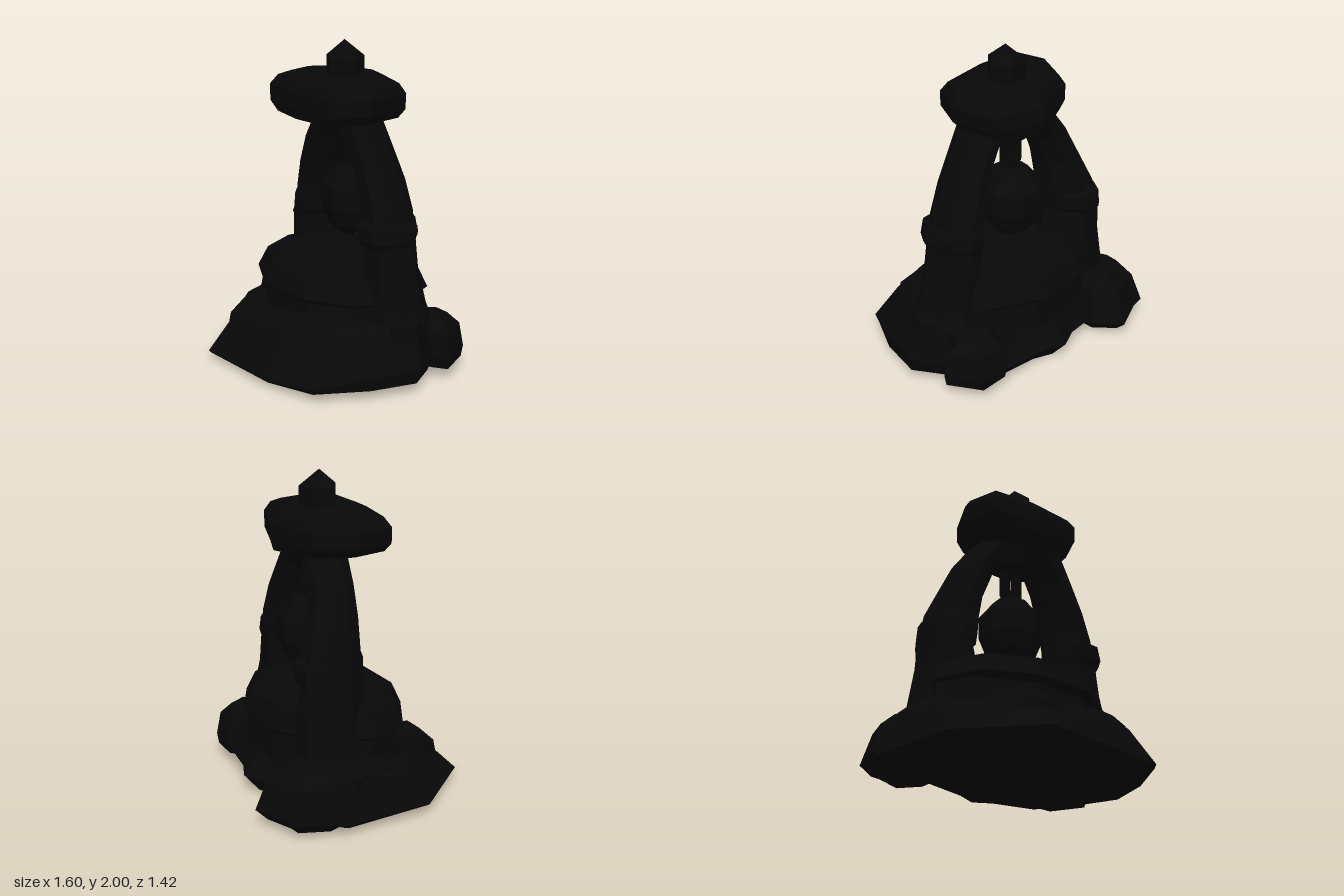
import * as THREE from 'three';

const stone = new THREE.MeshStandardMaterial({ color: 0x080808 });
stone.name = 'darkStone';

// Faceted mesh from any geometry
function part(group, name, geometry) {
  const geo = geometry.index ? geometry.toNonIndexed() : geometry;
  geo.computeVertexNormals();
  const mesh = new THREE.Mesh(geo, stone);
  mesh.name = name;
  group.add(mesh);
  return mesh;
}

// Closed solid through rings of [x, y, z]; each ring runs front, right, back, left
function loft(rings) {
  const n = rings[0].length, pos = [], index = [];
  rings.forEach(r => r.forEach(p => pos.push(...p)));
  for (let k = 0; k < rings.length - 1; k++) {
    for (let i = 0; i < n; i++) {
      const a = k * n + i, b = k * n + (i + 1) % n;
      index.push(a, b, b + n, a, b + n, a + n);
    }
  }
  [rings[0], rings[rings.length - 1]].forEach((r, top) => {
    const c = pos.length / 3, s = top ? (rings.length - 1) * n : 0;
    for (let j = 0; j < 3; j++) pos.push(r.reduce((t, p) => t + p[j], 0) / n);
    for (let i = 0; i < n; i++) {
      const a = s + i, b = s + (i + 1) % n;
      if (top) index.push(a, b, c); else index.push(b, a, c);
    }
  });
  const geo = new THREE.BufferGeometry();
  geo.setAttribute('position', new THREE.Float32BufferAttribute(pos, 3));
  geo.setIndex(index);
  return geo;
}

// Outline [x, z] scaled about (cx, cz) at each level [y, sx, sz]
function stack(outline, cx, cz, levels) {
  return loft(levels.map(([y, sx, sz = sx]) =>
    outline.map(([x, z]) => [cx + (x - cx) * sx, y, cz + (z - cz) * sz])));
}

function ellipse(n, rx, rz, cx, cz, turn = 0) {
  return Array.from({ length: n }, (_, i) => {
    const a = (i + turn) / n * Math.PI * 2;
    return [cx + Math.sin(a) * rx, cz + Math.cos(a) * rz];
  });
}

// Pillar section: corners cut back more towards the bell and on one outer corner
function section([y, x0, x1, zf, zb]) {
  const w = x1 - x0, d = zf - zb;
  const [fr, br, bl, fl] = x0 > 0 ? [0.2, 0.3, 0.33, 0.33] : [0.33, 0.33, 0.2, 0.34];
  return [[x0 + w * fl, zf], [x1 - w * fr, zf], [x1, zf - d * fr], [x1, zb + d * br],
    [x1 - w * br, zb], [x0 + w * bl, zb], [x0, zb + d * bl], [x0, zf - d * fl]].map(([x, z]) => [x, y, z]);
}

export function createModel() {
  const model = new THREE.Group();
  model.name = 'bellShrine';

  // Rocky footing: widest edge as [x, z, y], tucked under at the bottom, lower at the front left
  const foot = [[-0.41, 0.71, 0.06], [0.18, 0.69, 0.05], [0.52, 0.61, 0.08], [0.71, 0.32, 0.14],
    [0.8, 0.04, 0.15], [0.67, -0.2, 0.14], [0.47, -0.46, 0.13], [0.16, -0.51, 0.12],
    [0.03, -0.57, 0.12], [-0.1, -0.52, 0.12], [-0.4, -0.5, 0.1], [-0.8, -0.35, 0.07], [-0.78, 0.27, 0.06]];
  const level = (y, sx, sz) => foot.map(([x, z]) => [x * sx, x < -0.3 && z > 0 ? y * 0.75 : y, z * sz]);
  part(model, 'rockyFooting', loft([
    foot.map(([x, z]) => [x * 0.98, 0.02 + 0.05 * Math.abs(x) + (z > 0 ? z * 0.01 : z * 0.04), z > 0 ? z * 0.99 : z * 0.82]),
    foot.map(([x, z, y]) => [x, y, z]),
    level(0.33, 0.89, 0.74), level(0.4, 0.8, 0.58)]));

  // Loose boulders around the footing
  const backBoulder = [[-0.7, -0.1], [-0.3, -0.25], [-0.28, -0.55], [-0.4, -0.71], [-0.62, -0.63],
    [-0.71, -0.62], [-0.8, -0.4]];
  part(model, 'backBoulder', stack(backBoulder, -0.5, -0.35,
    [[0.03, 0.8], [0.1, 1], [0.29, 0.8], [0.37, 0.5]]));
  const sideBoulder = [[0.4, -0.08], [0.69, -0.17], [0.78, -0.23], [0.67, -0.45], [0.47, -0.46], [0.33, -0.3]];
  part(model, 'sideBoulder', stack(sideBoulder, 0.55, -0.28,
    [[0.07, 0.94], [0.14, 1], [0.29, 0.87], [0.36, 0.5]]));
  const footBoulder = [[0.45, 0.2], [0.7, 0.15], [0.77, 0], [0.67, -0.18], [0.4, -0.18]];
  part(model, 'footBoulder', stack(footBoulder, 0.56, 0, [[0.1, 1], [0.18, 1], [0.4, 0.82], [0.43, 0.55]]));
  const frontLeft = [[-0.4, 0.56], [-0.17, 0.56], [-0.15, 0.2], [-0.54, 0.28]];
  part(model, 'frontBoulder', stack(frontLeft, -0.32, 0.3, [[0.1, 1.08], [0.28, 0.95], [0.37, 0.6]]));
  const frontRight = [[0.08, 0.53], [0.4, 0.5], [0.62, 0.28], [0.55, 0.05], [0.15, 0.15]];
  part(model, 'frontBoulder', stack(frontRight, 0.36, 0.25, [[0.1, 1.06], [0.32, 0.95], [0.41, 0.6]]));
  const leftBoulder = [[-0.67, 0.08], [-0.45, 0.15], [-0.45, -0.25], [-0.74, -0.22]];
  part(model, 'leftBoulder', stack(leftBoulder, -0.55, -0.08, [[0.1, 1.05], [0.31, 0.95], [0.38, 0.6]]));

  // Stone drum and its overhanging rim
  part(model, 'drum', stack(ellipse(10, 0.6, 0.43, -0.02, -0.04, 0.5), -0.02, -0.04,
    [[0.28, 1.05], [0.51, 0.97]]));
  part(model, 'rim', stack(ellipse(10, 0.61, 0.48, -0.02, -0.04, 0.5), -0.02, -0.04,
    [[0.47, 0.94], [0.5, 1], [0.63, 0.88], [0.66, 0.72]]));

  // Two leaning pillars, set askew: y, x range, front z, back z
  const leftLeg = [[0.36, 0.4, 0.69, 0.16, -0.24], [0.45, 0.37, 0.66, 0.14, -0.22],
    [0.66, 0.31, 0.61, 0.13, -0.2], [0.85, 0.3, 0.575, 0.13, -0.2], [1.02, 0.285, 0.54, 0.125, -0.2],
    [1.2, 0.24, 0.47, 0.12, -0.19], [1.36, 0.17, 0.395, 0.11, -0.17], [1.57, 0.03, 0.28, 0.11, -0.16]];
  const rightLeg = [[0.4, -0.6, -0.22, 0, -0.42], [0.66, -0.56, -0.24, 0, -0.4],
    [0.83, -0.55, -0.3, -0.01, -0.39], [0.86, -0.545, -0.24, -0.01, -0.39], [1.02, -0.52, -0.23, -0.01, -0.37],
    [1.18, -0.46, -0.22, 0, -0.31], [1.36, -0.385, -0.155, 0.01, -0.26], [1.57, -0.23, 0, 0.04, -0.24]];
  part(model, 'leftPillar', loft(leftLeg.map(section)));
  part(model, 'rightPillar', loft(rightLeg.map(section)));

  // Bands and studs around the pillars
  part(model, 'leftBand', loft([[0.84, 0.3, 0.58, 0.14, -0.2], [0.88, 0.29, 0.59, 0.17, -0.21],
    [0.97, 0.285, 0.56, 0.17, -0.21], [0.99, 0.29, 0.545, 0.13, -0.2]].map(section)));
  part(model, 'rightBand', loft([[0.82, -0.553, -0.29, 0, -0.4], [0.86, -0.55, -0.24, 0, -0.41],
    [0.95, -0.54, -0.235, 0, -0.41], [0.98, -0.53, -0.24, -0.01, -0.38]].map(section)));
  [[0.55, 0.93, -0.1], [-0.41, 0.95, -0.39]].forEach(([x, y, z]) => {
    part(model, 'stud', new THREE.DodecahedronGeometry(0.055)).position.set(x, y, z);
  });

  // Lintel joining the pillars
  part(model, 'lintel', loft([[1.42, -0.14, 0.17, 0.05, -0.19], [1.57, -0.23, 0.28, 0.1, -0.24]].map(section)));

  // Capstone and pointed finial
  const cap = [[-0.1, 0.27], [0.25, 0.25], [0.37, 0.05], [0.34, -0.25], [0.02, -0.37],
    [-0.3, -0.27], [-0.44, -0.02], [-0.4, 0.22]];
  part(model, 'capstone', stack(cap, -0.02, -0.05,
    [[1.54, 0.82, 0.95], [1.6, 0.97, 1], [1.7, 1, 0.98], [1.76, 0.9, 0.85], [1.79, 0.72, 0.66]]));
  part(model, 'finial', stack(ellipse(5, 0.12, 0.125, 0, -0.05, 0.1), 0, -0.05,
    [[1.74, 1], [1.9, 0.98], [2, 0.01]]));

  // Hanging bell
  const profile = [[0, 0.77], [0.1, 0.8], [0.16, 0.86], [0.2, 0.96], [0.2, 1.1], [0.11, 1.21], [0, 1.23]];
  part(model, 'bell', new THREE.LatheGeometry(profile.map(p => new THREE.Vector2(...p)), 8, 0.2))
    .position.set(0.02, 0, -0.11);

  // Hanger: two bars, a crosspiece and a stem
  [[-0.025, 1.36, 0.04, 0.2], [0.07, 1.36, 0.035, 0.2], [0.022, 1.27, 0.13, 0.04], [0.025, 1.23, 0.07, 0.08]]
    .forEach(([x, y, w, h]) => {
      part(model, 'hanger', new THREE.BoxGeometry(w, h, 0.06)).position.set(x, y, -0.11);
    });

  return model;
}
